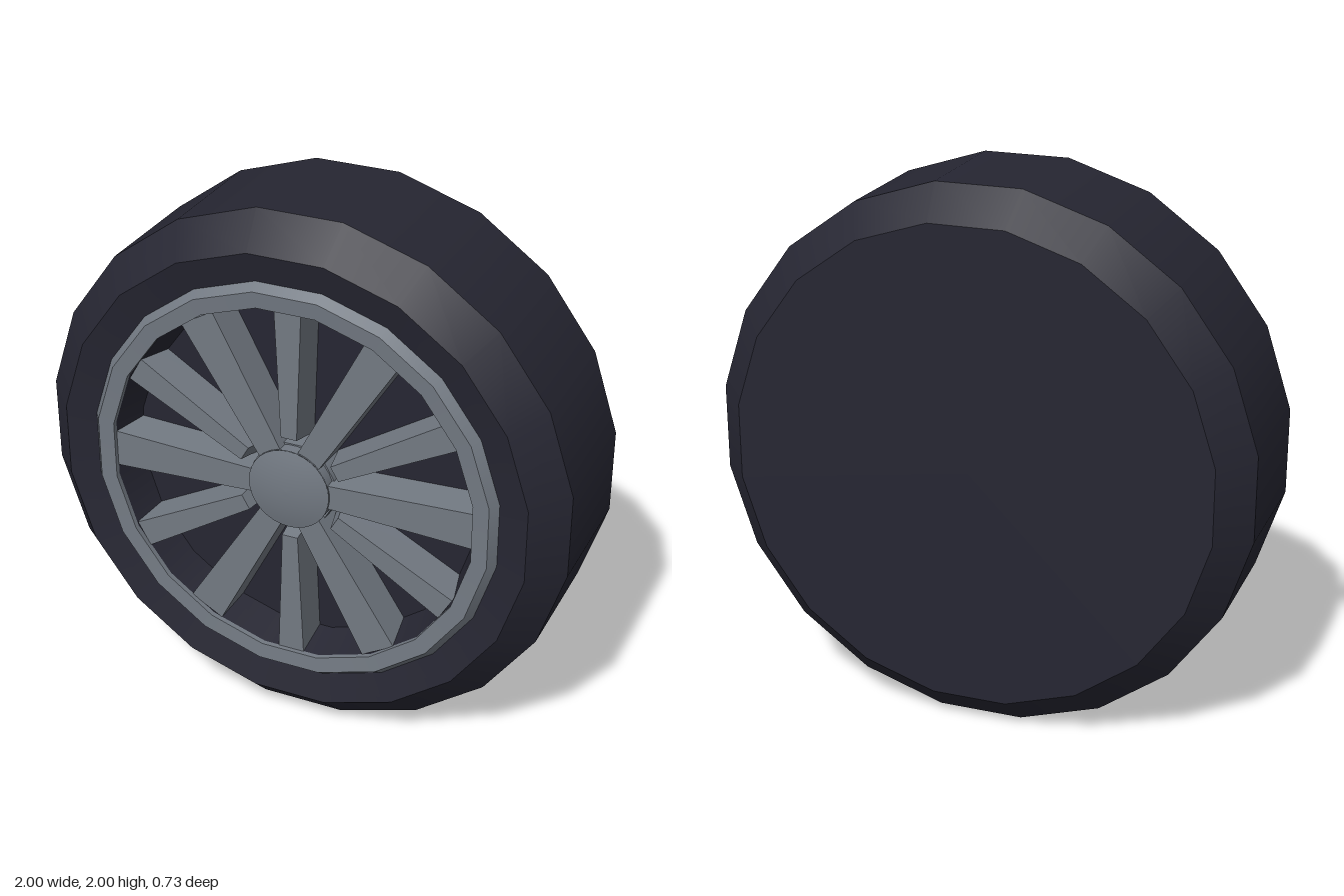
import * as THREE from 'three';
import { mergeGeometries } from 'three/addons/utils/BufferGeometryUtils.js';

const rubber = new THREE.MeshStandardMaterial({ color: 0x262632 });
rubber.name = 'darkRubber';
const metal = new THREE.MeshStandardMaterial({ color: 0x727982 });
metal.name = 'greyMetal';

const SIDES = 20;

// Turned part around z: smooth around, with a sharp crease at every profile point.
// Profile entries are [distance to the flat side, z].
function turned(profile, sides = SIDES) {
  const k = 1 / Math.cos(Math.PI / sides);
  const bands = [];
  for (let i = 0; i < profile.length - 1; i++) {
    const pts = [profile[i], profile[i + 1]].map(([r, z]) => new THREE.Vector2(r * k, z));
    bands.push(new THREE.LatheGeometry(pts, sides, Math.PI / sides));
  }
  return mergeGeometries(bands).rotateX(Math.PI / 2);
}

// Tapered spoke along +x; the inner end slopes towards the hub at its base.
function spokeGeometry(rIn, rOut, halfIn, halfOut, slope) {
  const g = new THREE.BoxGeometry(1, 2, 1);
  const p = g.attributes.position;
  for (let i = 0; i < p.count; i++) {
    const t = p.getX(i) + 0.5;
    const front = p.getZ(i) > 0;
    const start = front ? rIn : rIn - slope;
    const half = THREE.MathUtils.lerp(halfIn, halfOut, t) + (front ? 0 : 0.006);
    p.setXYZ(i, THREE.MathUtils.lerp(start, rOut, t), p.getY(i) * half, front ? 0.337 : 0.19);
  }
  g.computeVertexNormals();
  return g;
}

export function createModel() {
  const wheel = new THREE.Group();
  wheel.name = 'wheel';
  wheel.position.y = 1;
  const add = (name, geometry, material) => {
    const mesh = new THREE.Mesh(geometry, material);
    mesh.name = name;
    wheel.add(mesh);
    return mesh;
  };

  // Tyre with bevelled shoulders, closed back and a recessed front well
  add('tyre', turned([
    [0, -0.365], [0.885, -0.365], [1, -0.245], [1, 0.235], [0.885, 0.355], [0.77, 0.325],
  ]), rubber);
  add('wheelWell', turned([[0.69, 0.335], [0.655, 0.2], [0, 0.2]]), rubber);

  // Raised rim with chamfered outer edge
  add('rim', turned([[0.78, 0.32], [0.75, 0.36], [0.69, 0.355], [0.69, 0.33]]), metal);

  // Alternating wide and narrow spokes
  const wide = spokeGeometry(0.14, 0.69, 0.046, 0.07, 0);
  const narrow = spokeGeometry(0.2, 0.69, 0.03, 0.05, 0.035);
  for (let i = 0; i < 12; i++) {
    add(i % 2 ? 'narrowSpoke' : 'wideSpoke', i % 2 ? narrow : wide, metal)
      .rotation.z = i * Math.PI / 6;
  }

  // Hub collar and domed cap
  add('hubCollar', turned([[0.165, 0.19], [0.16, 0.3], [0, 0.3]], 12), metal);
  add('hubSide', turned([[0.155, 0.29], [0.155, 0.343]], 32), metal);
  const dome = [];
  for (let i = 0; i <= 6; i++) {
    const r = 0.155 * (1 - i / 6);
    dome.push(new THREE.Vector2(r, 0.365 - 0.022 * (r / 0.155) ** 2));
  }
  add('hubCap', new THREE.LatheGeometry(dome, 32).rotateX(Math.PI / 2), metal);

  const model = new THREE.Group();
  model.name = 'model';
  model.add(wheel);
  return model;
}
